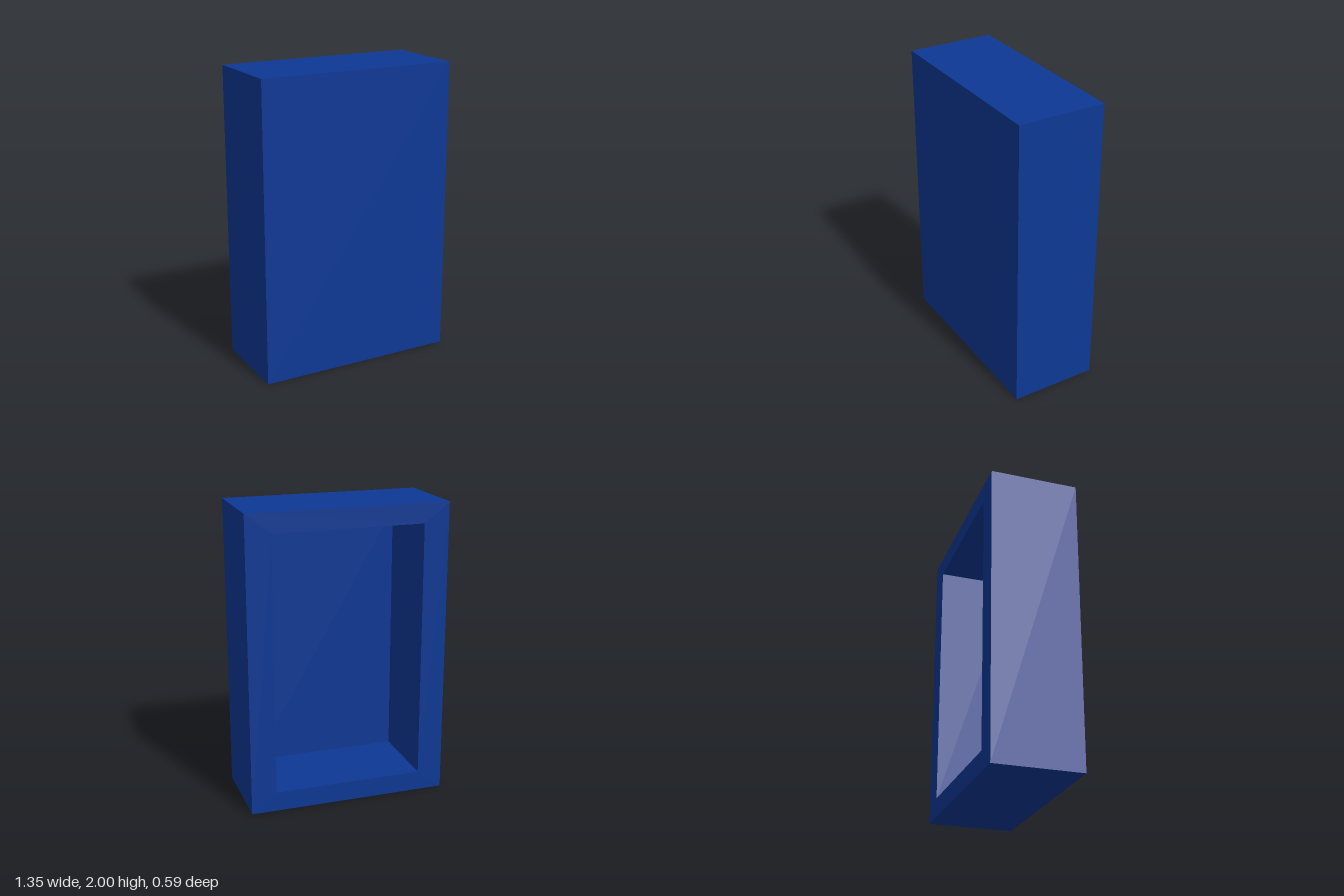
import * as THREE from 'three';

// Rectangular cross-section: four corners, anticlockwise seen from the front
const ring = (w, h, z) => [[-1, -1], [1, -1], [1, 1], [-1, 1]]
  .map(([sx, sy]) => [sx * w / 2, 1 + sy * h / 2, z]);

export function createModel() {
  const group = new THREE.Group();
  group.name = 'openBackBox';

  const width = 1.35, height = 2, depth = 0.59;
  const sideWall = 0.17, endWall = 0.132, frontWall = 0.042;
  const innerWidth = width - 2 * sideWall, innerHeight = height - 2 * endWall;

  // Front edge, back edge, opening, recess floor
  const rings = [
    ring(width, height, depth / 2),
    ring(width, height, -depth / 2),
    ring(innerWidth, innerHeight, -depth / 2),
    ring(innerWidth, innerHeight, depth / 2 - frontWall),
  ];

  const positions = [];
  const quad = (a, b, c, d) => positions.push(...a, ...b, ...c, ...a, ...c, ...d);

  // Front face and recess floor
  quad(...rings[0]);
  quad(...[...rings[3]].reverse());

  // Outer walls, back rim and recess walls
  for (let r = 0; r < rings.length - 1; r++) {
    const a = rings[r], b = rings[r + 1];
    for (let i = 0; i < 4; i++) {
      const j = (i + 1) % 4;
      quad(a[i], b[i], b[j], a[j]);
    }
  }

  const geometry = new THREE.BufferGeometry();
  geometry.setAttribute('position', new THREE.Float32BufferAttribute(positions, 3));
  geometry.computeVertexNormals();

  const shell = new THREE.Mesh(geometry, new THREE.MeshStandardMaterial({ color: 0x0d3894 }));
  shell.name = 'recessedShell';
  group.add(shell);
  return group;
}
